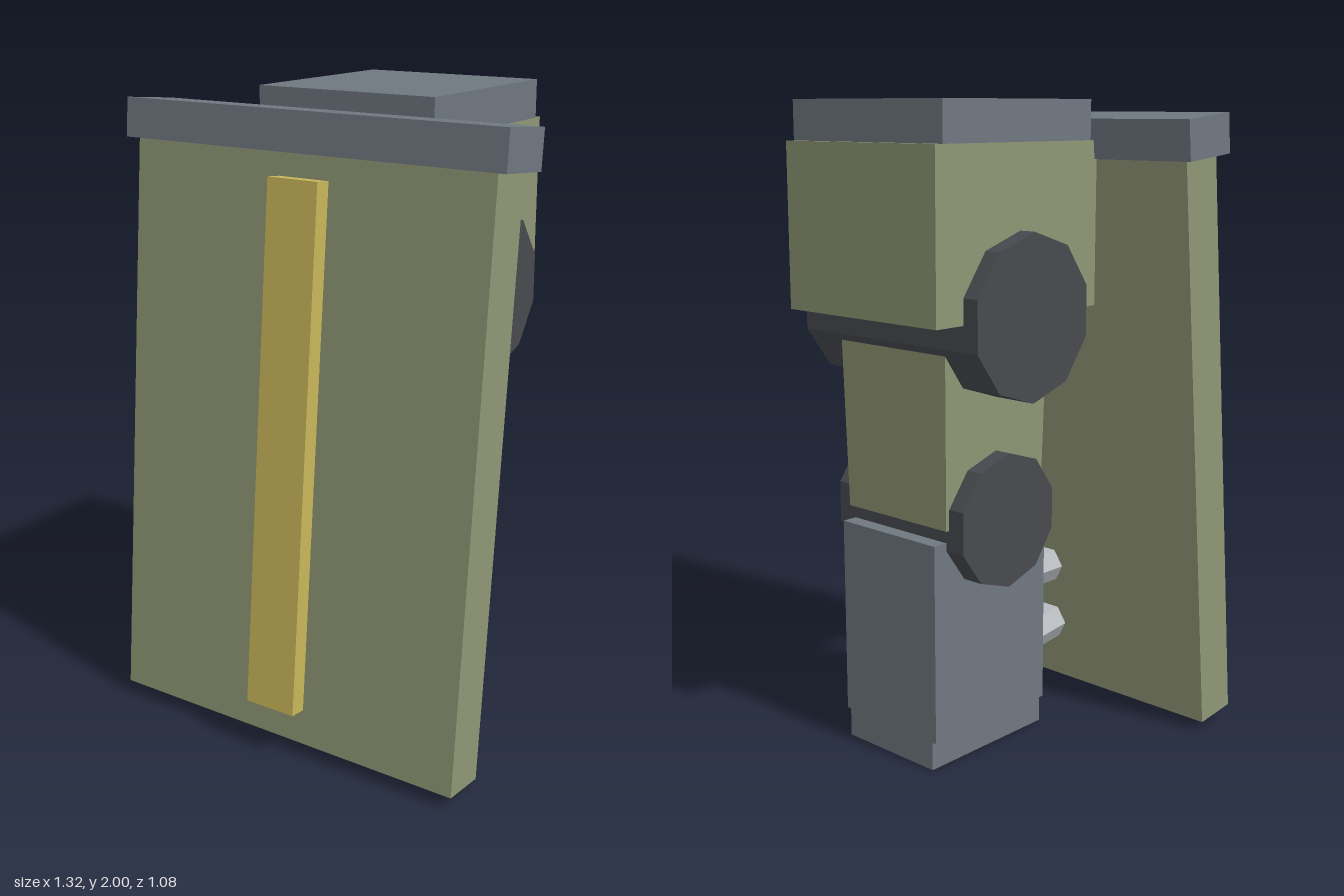
import * as THREE from 'three';

const material = (name, color) => {
  const m = new THREE.MeshStandardMaterial({ color });
  m.name = name;
  return m;
};

export function createModel() {
  const olive = material('olive armour', 0x8f9674);
  const steel = material('steel grey', 0x6f7780);
  const dark = material('dark joint', 0x474a4f);
  const yellow = material('yellow stripe', 0xc9b65a);
  const silver = material('light strut', 0xb8bcc0);

  const model = new THREE.Group();
  model.name = 'armWithShield';

  const add = (parent, name, geometry, mat, x, y, z) => {
    const mesh = new THREE.Mesh(geometry, mat);
    mesh.name = name;
    mesh.position.set(x, y, z);
    parent.add(mesh);
    return mesh;
  };

  // Box given by its width and its y and z ranges
  const block = (parent, name, mat, width, y0, y1, z0, z1) =>
    add(parent, name, new THREE.BoxGeometry(width, y1 - y0, z1 - z0), mat, 0, (y0 + y1) / 2, (z0 + z1) / 2);

  // Ten-sided joint lying across the arm, a corner pointing up
  const joint = (name, radius, width, y) =>
    add(model, name, new THREE.CylinderGeometry(radius, radius, width, 10)
      .rotateY(Math.PI / 2).rotateZ(Math.PI / 2).toNonIndexed(), dark, 0, y, -0.195)
      .geometry.computeVertexNormals();

  // Hexagonal strut from the forearm to the shield, flat side up
  const strut = (name, yBack, zBack, yFront, zFront) => {
    const dy = yFront - yBack, dz = zFront - zBack;
    const geometry = new THREE.CylinderGeometry(0.062, 0.062, Math.hypot(dy, dz), 6)
      .rotateY(Math.PI / 6).rotateX(Math.PI / 2 - Math.atan2(dy, dz)).toNonIndexed();
    geometry.computeVertexNormals();
    add(model, name, geometry, silver, 0, (yBack + yFront) / 2, (zBack + zFront) / 2);
  };

  // Shoulder
  block(model, 'shoulderCap', steel, 0.62, 1.88, 2.0, -0.51, 0.12);
  block(model, 'shoulderArmour', olive, 0.62, 1.38, 1.88, -0.54, 0.15);
  joint('shoulderJoint', 0.25, 0.73, 1.38);

  // Upper arm, narrowing slightly toward the elbow
  const upperArm = new THREE.BoxGeometry(0.45, 0.68, 0.45);
  const p = upperArm.attributes.position;
  for (let i = 0; i < p.count; i++) {
    if (p.getY(i) < 0) p.setXYZ(i, p.getX(i) * 0.94, p.getY(i), p.getZ(i) * 0.94);
  }
  upperArm.computeVertexNormals();
  add(model, 'upperArm', upperArm, olive, 0, 1.095, -0.195);
  joint('elbowJoint', 0.21, 0.54, 0.755);

  // Forearm and cuff
  block(model, 'forearm', steel, 0.4, 0.09, 0.715, -0.445, 0.05);
  block(model, 'cuff', steel, 0.37, 0, 0.09, -0.445, 0.05);

  // Struts holding the shield
  strut('upperStrut', 0.44, 0, 0.44, 0.36);
  strut('lowerStrut', 0.189, 0, 0.235, 0.38);

  // Shield, leaning back, with its origin at the bottom edge
  const shield = new THREE.Group();
  shield.name = 'shield';
  shield.position.set(0, 0.035, 0.425);
  shield.rotation.x = -0.1;
  model.add(shield);
  block(shield, 'shieldPlate', olive, 1.25, 0, 1.82, -0.075, 0.075);
  block(shield, 'shieldRim', steel, 1.32, 1.808, 1.928, -0.105, 0.095);
  block(shield, 'shieldStripe', yellow, 0.175, 0.112, 1.738, 0.07, 0.13);

  return model;
}
